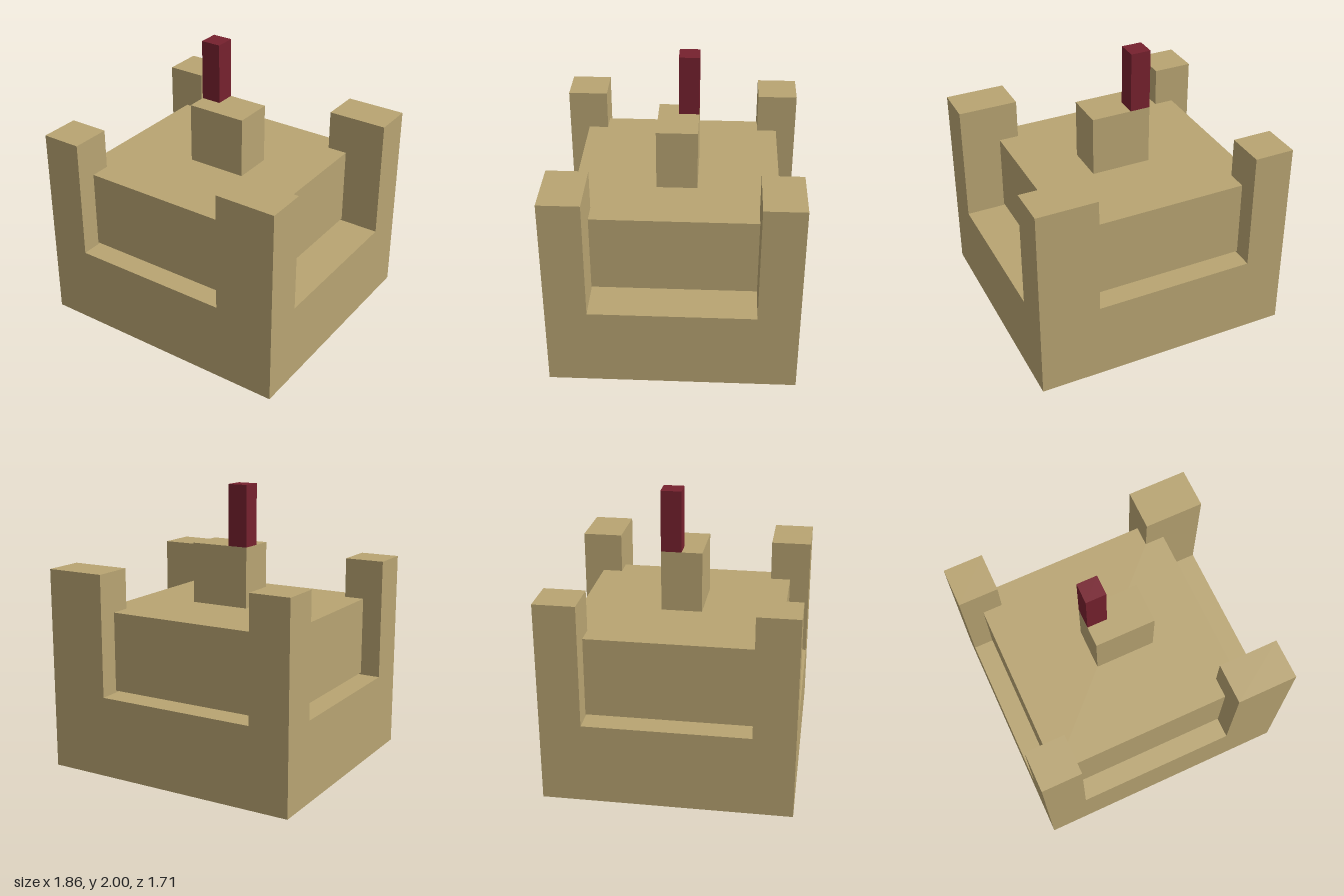
import * as THREE from 'three';

const U = 1 / 7; // modelling grid unit

export function createModel() {
  const model = new THREE.Group();
  const sand = new THREE.MeshStandardMaterial({ color: 0xb8a472, side: THREE.DoubleSide });
  sand.name = 'sand';
  const maroon = new THREE.MeshStandardMaterial({ color: 0x76212e });
  maroon.name = 'maroon';

  // Box between two corners in grid units; open boxes have no underside
  function block(name, material, [x0, y0, z0], [x1, y1, z1], open = false) {
    const geometry = new THREE.BoxGeometry((x1 - x0) * U, (y1 - y0) * U, (z1 - z0) * U);
    if (open) {
      const index = Array.from(geometry.index.array);
      index.splice(18, 6); // the bottom face
      geometry.setIndex(index);
      geometry.clearGroups();
    }
    geometry.translate((x0 + x1) / 2 * U, (y0 + y1) / 2 * U, (z0 + z1) / 2 * U);
    const mesh = new THREE.Mesh(geometry, material);
    mesh.name = name;
    model.add(mesh);
  }

  // Hollow base: thin walls and a deck, open underneath
  block('base', sand, [-6.5, 0, -6], [6.5, 4, 6], true);

  // Corner posts, wider on the left side
  for (const [end, z0, z1] of [['front', 4, 6], ['back', -6, -4]]) {
    block(end + 'RightPost', sand, [-6.5, 4, z0], [-4.5, 10, z1], true);
    block(end + 'LeftPost', sand, [3.5, 4, z0], [6.5, 10, z1], true);
  }

  // Central body, held just clear of the deck
  block('body', sand, [-5.5, 4.1, -5], [4.5, 8, 5]);

  // Raised block and the upright peg on its corner
  block('topBlock', sand, [-1.5, 8, -1], [1.5, 11, 1], true);
  block('peg', maroon, [-1.5, 11, -1], [-0.5, 14, 0]);

  return model;
}
